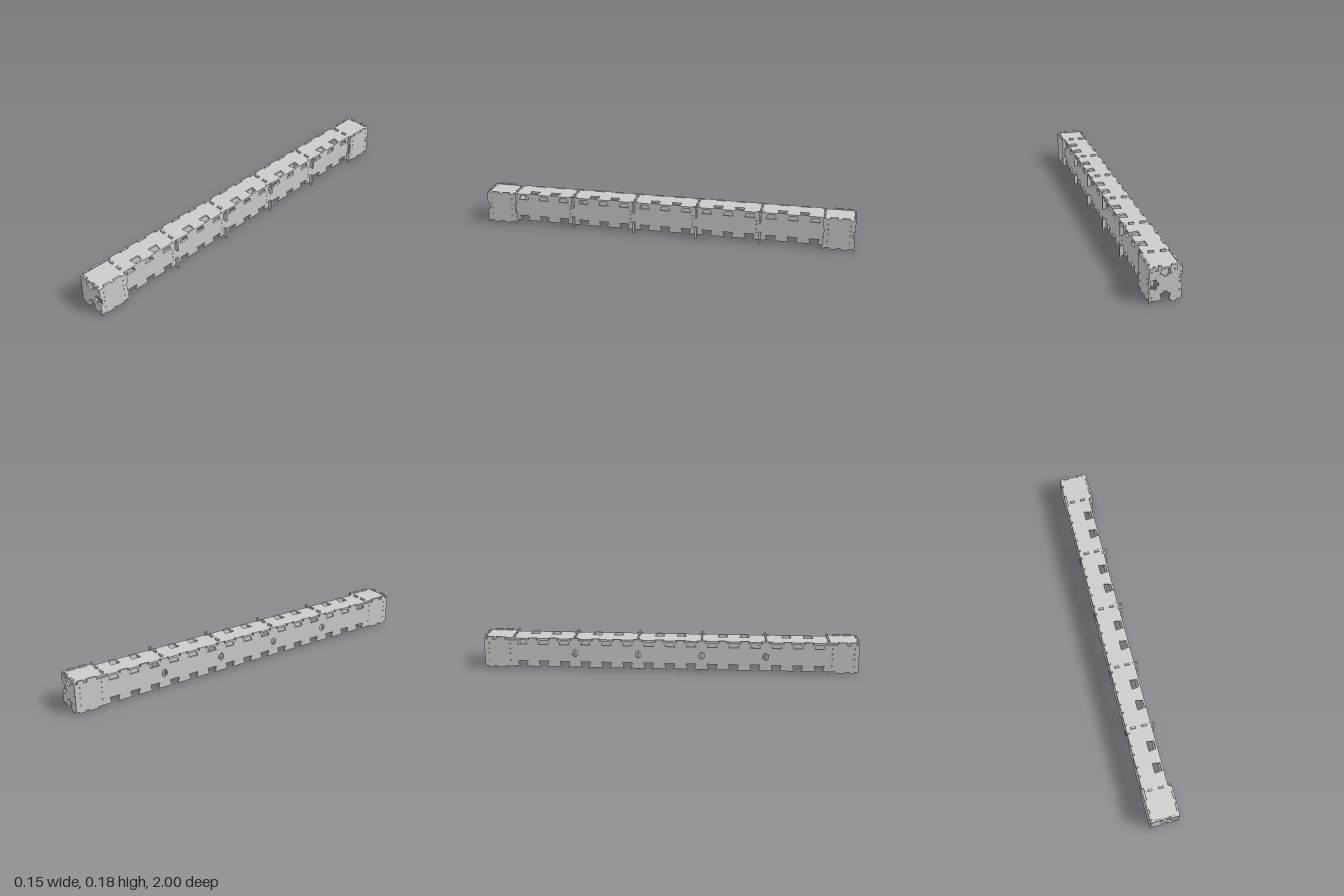
import * as THREE from 'three';

const T = 0.01;              // sheet thickness
const PITCH = 0.34 / 3;      // joint spacing along the beam
const mat = new THREE.MeshStandardMaterial({ color: 0xcccccc, flatShading: true });
const range = (a, b) => Array.from({ length: b - a + 1 }, (_, i) => a + i);

// One edge, ascending in u. Feature: [centre, half width at edge, half width inside, v, relief radius]
function edge(u0, u1, base, feats) {
  const pts = [[u0, base]];
  for (const [c, hE, hI, v, r] of [...feats].sort((a, b) => a[0] - b[0])) {
    pts.push([c - hE, base], [c - hI, v]);
    if (r) for (const i of range(0, 8)) {
      const a = Math.PI * i / 8;
      pts.push([c - r * Math.cos(a), v + Math.sign(v - base) * r * Math.sin(a)]);
    }
    pts.push([c + hI, v], [c + hE, base]);
  }
  pts.push([u1, base]);
  return pts.filter((p, i) => !i || Math.hypot(p[0] - pts[i - 1][0], p[1] - pts[i - 1][1]) > 1e-6);
}
const strip = (u0, u1, lo, hi, loF, hiF) =>
  [...edge(u0, u1, lo, loF), ...edge(u0, u1, hi, hiF).reverse()];

// Cut sheet with round or oval holes [u, v, ru, rv]
function sheet(name, pts, holes = []) {
  const s = new THREE.Shape(pts.map(p => new THREE.Vector2(...p)));
  for (const [u, v, ru, rv = ru] of holes) {
    s.holes.push(new THREE.Path().absellipse(u, v, ru, rv, 0, Math.PI * 2, true));
  }
  const geo = new THREE.ExtrudeGeometry(s, { depth: T, bevelEnabled: false, curveSegments: 6 });
  const m = new THREE.Mesh(geo, mat);
  m.name = name;
  return m;
}

// Sheet standing along the beam: u is z, v is y
function sideSheet(name, xOuter, pts, holes) {
  const m = sheet(name, pts, holes);
  m.geometry.rotateY(-Math.PI / 2);
  m.position.x = xOuter;
  return m;
}

export function createModel() {
  const g = new THREE.Group();
  g.name = 'jointedBeam';
  const ribZ = [-0.51, -0.17, 0.17, 0.51];
  const joints = range(-7, 7).map(k => k * PITCH);
  const gaps = range(-7, 6).map(k => (k + 0.5) * PITCH);
  const upper = joints.map(c => [c, 0.018, 0.027, 0.137]);
  const lower = joints.map(c => [c, 0.018, 0.027, 0.043]);
  const tabs = gaps.map(c => [c, 0.02, 0.02, 0.173]);
  const ends = [-1, 1];

  // Long side sheets with dovetail sockets along both edges
  const dots = ribZ.flatMap(z => [0.055, 0.075, 0.1, 0.12].map(y => [z + 0.02, y, 0.003]));
  g.add(sideSheet('rightSide', 0.057,
    strip(-0.84, 0.84, 0.015, 0.16, lower, [...upper, ...tabs]), dots));
  const corner = ends.flatMap(s => [[s * 0.91, 0.025, 0.025], [s * 0.968, 0.015, 0.015]]);
  const endDots = ends.flatMap(s => [0.86, 0.975].flatMap(z =>
    [0.045, 0.085, 0.11, 0.14].map(y => [s * z, y, 0.003])));
  g.add(sideSheet('leftSide', -0.066,
    strip(-0.99, 0.99, 0.012, 0.16,
      [...lower, ...corner.map(c => [...c, 0.004])],
      [...upper, ...tabs, ...corner.map(c => [...c, 0.176])]),
    [...endDots, ...ribZ.map(z => [z, 0.09, 0.015, 0.02])]));

  // Top sheet: wide at the ends, sockets in pairs between the ribs
  const sockets = [-0.68, -0.34, 0, 0.34, 0.68].flatMap(b =>
    ends.map(s => [b + s * 0.058, 0.018, 0.026, 0.01]));
  const topPts = strip(-0.995, 0.995, -0.066, 0.057,
    joints.map(c => [c, 0.03, 0.03, -0.076]),
    [...sockets, ...ends.map(s => [s * 0.9175, 0.0775, 0.0775, 0.076])]);
  const top = sheet('topSheet', topPts.map(([u, v]) => [v, u]));
  top.geometry.rotateX(Math.PI / 2);
  top.position.y = 0.17;
  g.add(top);

  // Cross ribs: tabs through the top, sockets above and below, two prongs on the right
  const ribPts = [
    ...edge(-0.066, 0.076, 0.01, [
      [-0.0385, 0.0135, 0.0135, 0], [-0.01, 0.012, 0.015, 0.043],
      [0.0195, 0.0135, 0.0135, 0], [0.071, 0.005, 0.005, 0]]),
    [0.076, 0.065], [0.057, 0.06], [0.057, 0.12], [0.076, 0.115],
    ...edge(-0.066, 0.076, 0.16, [
      [-0.0385, 0.0135, 0.0135, 0.18], [0.0195, 0.0135, 0.0135, 0.18],
      [0.071, 0.005, 0.005, 0.18]]).reverse(),
  ];
  for (const z of [-0.84, ...ribZ, 0.84]) {
    const rib = sheet(Math.abs(z) > 0.8 ? 'endBulkhead' : 'crossRib', ribPts);
    rib.position.z = z - T / 2;
    g.add(rib);
  }

  // End plates with three dovetail sockets and fixing holes
  const r = 0.012;
  const relief = range(0, 8).map(i => {
    const a = Math.PI * i / 8;
    return [0.043 - r * Math.sin(a), 0.09 - r * Math.cos(a)];
  });
  const platePts = [
    ...edge(-0.076, 0.076, 0.01, [
      [-0.0385, 0.0135, 0.0135, 0], [0, 0.016, 0.025, 0.043, r],
      [0.0385, 0.006, 0.006, 0.004], [0.071, 0.004, 0.004, 0]]),
    [0.076, 0.073], [0.043, 0.065], ...relief, [0.043, 0.115], [0.076, 0.108],
    ...edge(-0.076, 0.076, 0.17, [
      [-0.0385, 0.0135, 0.0135, 0.18], [0, 0.016, 0.027, 0.137, r],
      [0.0265, 0.0065, 0.0065, 0.18], [0.052, 0.005, 0.005, 0.176]]).reverse(),
  ];
  const plateHoles = [
    ...[0.055, 0.095, 0.115].map(y => [-0.065, y, 0.003, 0.004]),
    ...[0.128, 0.143].map(y => [-0.069, y, 0.0025]),
    ...[-0.053, -0.042, 0.036, 0.046].map(x => [x, 0.158, 0.003]),
    ...[0.025, 0.152].map(y => [0.064, y, 0.003]),
  ];
  for (const s of ends) {
    const plate = sheet(s > 0 ? 'frontPlate' : 'backPlate', platePts, plateHoles);
    plate.position.z = s > 0 ? 1 - T : -1;
    g.add(plate);

    // Short outer cheek closing the right side of each end
    const a = Math.min(s * 0.84, s * 0.99), b = Math.max(s * 0.84, s * 0.99);
    const c = [[s * 0.89, 0.02, 0.02], [s * 0.95, 0.02, 0.02]];
    g.add(sideSheet('endCheek', 0.076,
      strip(a, b, 0.01, 0.17, c.map(f => [...f, 0.002]), c.map(f => [...f, 0.178])),
      endDots.filter(d => d[0] * s > 0)));
  }
  return g;
}
